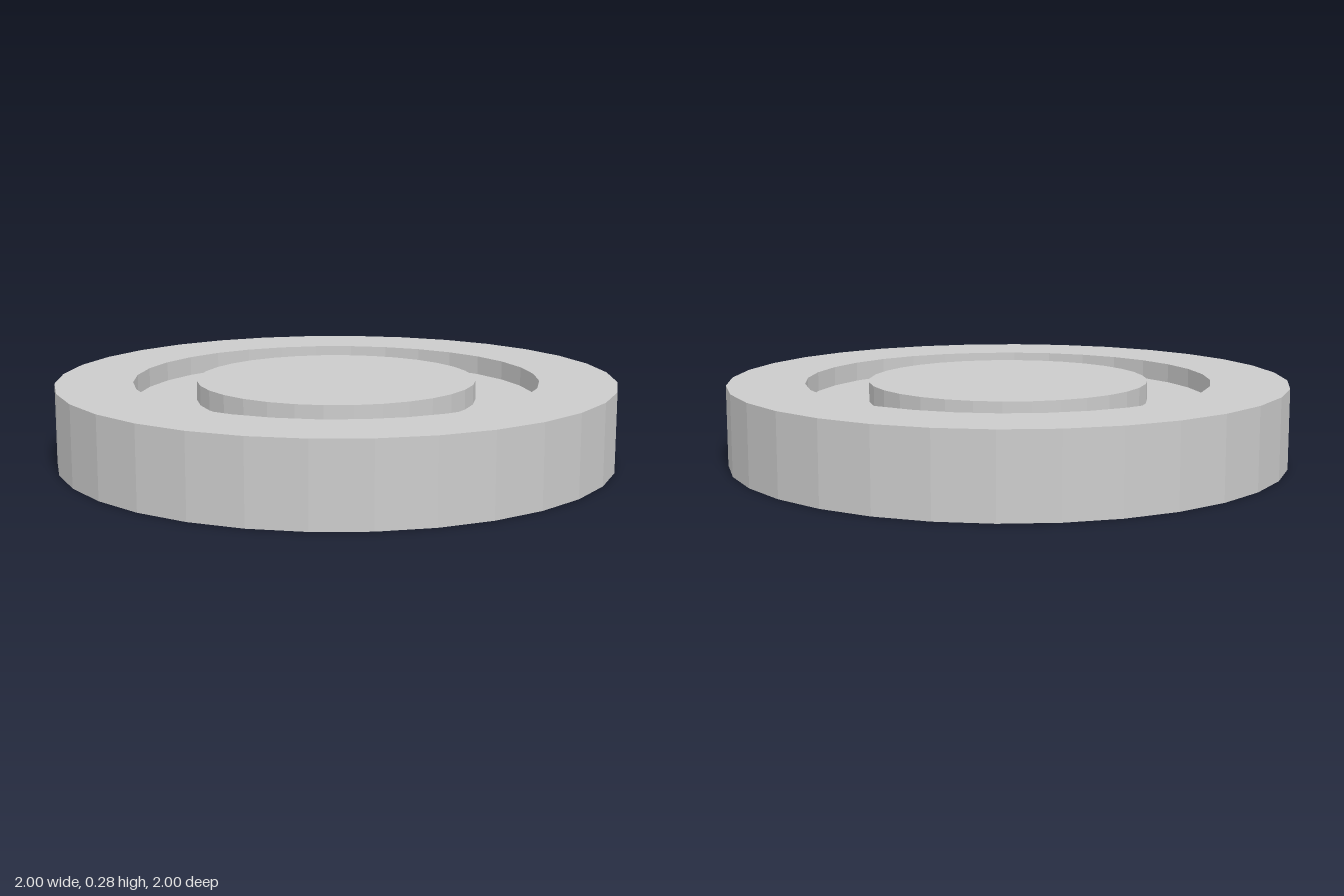
import * as THREE from 'three';

const SIDES = 32;
const HEIGHT = 0.285;
const RECESS = 0.07; // depth of the hollows above and below the web
const INNER = 0.725;

export function createModel() {
  const group = new THREE.Group();
  const material = new THREE.MeshStandardMaterial({ color: 0xcccccc, flatShading: true });

  function add(name, geometry, y = 0) {
    const mesh = new THREE.Mesh(geometry, material);
    mesh.name = name;
    mesh.position.y = y;
    group.add(mesh);
  }

  // Outer ring with a rectangular cross-section
  const profile = [[INNER, 0], [1, 0], [1, HEIGHT], [INNER, HEIGHT], [INNER, 0]]
    .map(([r, y]) => new THREE.Vector2(r, y));
  add('outerRing', new THREE.LatheGeometry(profile, SIDES));

  // Thinner web filling the ring, recessed on both faces
  add('web', new THREE.CylinderGeometry(INNER, INNER, HEIGHT - 2 * RECESS, SIDES), HEIGHT / 2);

  // Raised disc on the upper face, level with the ring
  add('centreDisc', new THREE.CylinderGeometry(0.5, 0.5, RECESS, SIDES), HEIGHT - RECESS / 2);

  return group;
}
